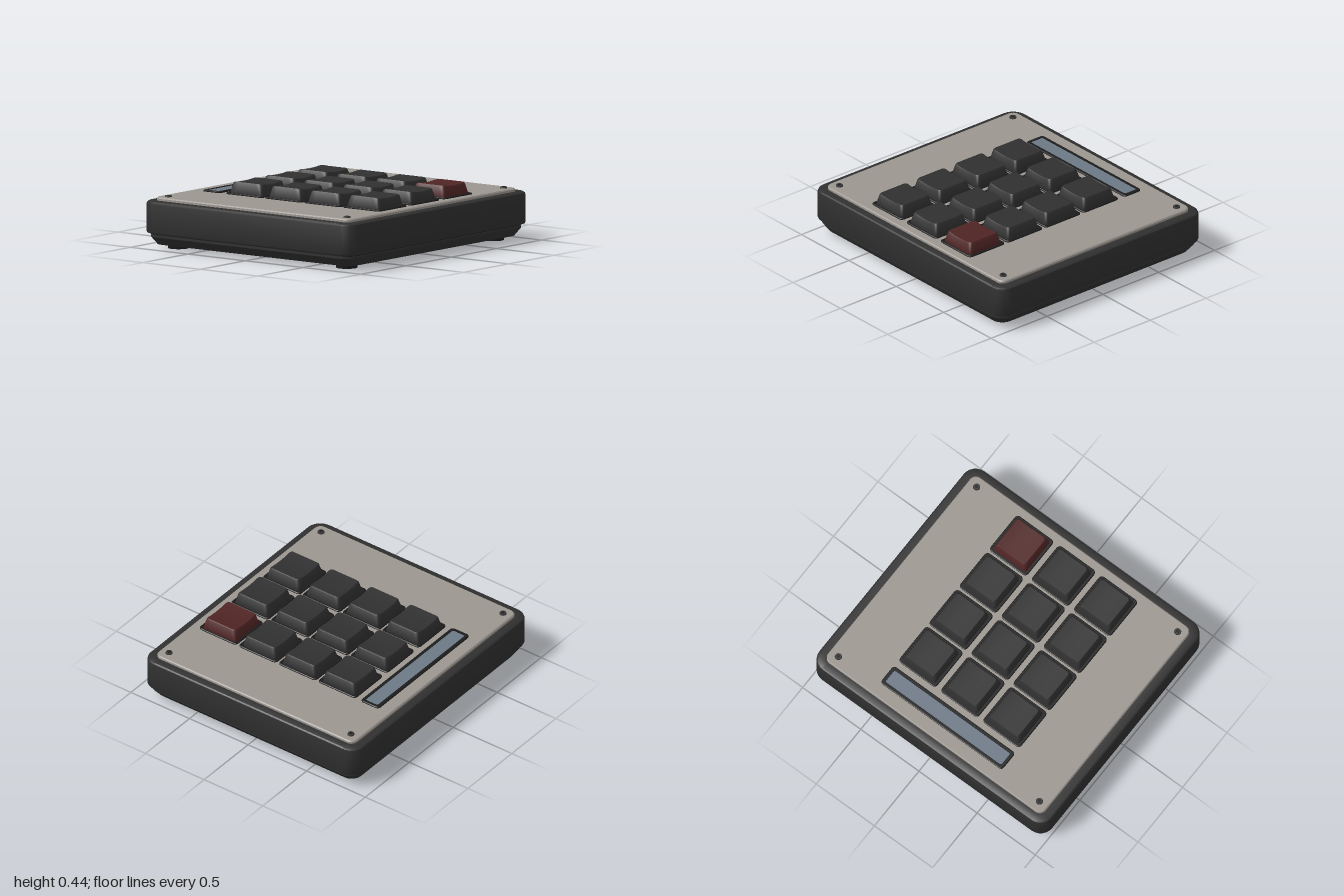
import * as THREE from 'three';
import { toCreasedNormals } from 'three/addons/utils/BufferGeometryUtils.js';

const mat = (name, color) => new THREE.MeshStandardMaterial({ name, color });

// Points around a rounded rectangle, with its straight sides subdivided
function outline(hw, hd, r, steps) {
  const pts = [], corners = [[1, 1], [-1, 1], [-1, -1], [1, -1]];
  const arc = 6;
  corners.forEach(([sx, sz], k) => {
    for (let i = 0; i <= arc; i++) {
      const a = (k + i / arc) * Math.PI / 2;
      pts.push([sx * (hw - r) + r * Math.cos(a), sz * (hd - r) + r * Math.sin(a)]);
    }
    const [x0, z0] = pts[pts.length - 1];
    const a = (k + 1) * Math.PI / 2, [nx, nz] = corners[(k + 1) % 4];
    const x1 = nx * (hw - r) + r * Math.cos(a), z1 = nz * (hd - r) + r * Math.sin(a);
    for (let i = 1; i < steps; i++) {
      const t = i / steps;
      pts.push([x0 + (x1 - x0) * t, z0 + (z1 - z0) * t]);
    }
  });
  return pts;
}

// Closed solid through rounded rectangles [halfWidth, halfDepth, radius, y];
// shape optionally moves each vertex's height
function loft(sections, { steps = 1, shape = null, crease = 0.6 } = {}) {
  const pos = [], index = [];
  const add = (x, y, z) => pos.push(x, shape ? shape(x, y, z) : y, z);
  let n = 0;
  for (const [hw, hd, r, y] of sections) {
    const pts = outline(hw, hd, r, steps);
    n = pts.length;
    pts.forEach(([x, z]) => add(x, y, z));
  }
  const last = sections.length - 1, bottom = n * (last + 1), top = bottom + 1;
  add(0, sections[0][3], 0);
  add(0, sections[last][3], 0);
  for (let j = 0; j < n; j++) {
    const k = (j + 1) % n;
    for (let i = 0; i < last; i++) {
      const a = i * n + j, b = i * n + k, c = b + n, d = a + n;
      index.push(a, d, c, a, c, b);
    }
    index.push(bottom, j, k, top, last * n + k, last * n + j);
  }
  const g = new THREE.BufferGeometry();
  g.setAttribute('position', new THREE.Float32BufferAttribute(pos, 3));
  g.setIndex(index);
  return toCreasedNormals(g, crease);
}

// Raised rim around a shallow recess
const tray = (hw, hd, r, rim) => loft([
  [hw, hd, r, 0.35],
  [hw, hd, r, 0.36],
  [hw - 0.005, hd - 0.005, r - 0.005, 0.364],
  [hw - rim, hd - rim, r * 0.5, 0.364],
  [hw - rim, hd - rim, r * 0.5, 0.358],
]);

export function createModel() {
  const root = new THREE.Group();
  root.name = 'keypad';
  const shell = mat('charcoal shell', 0x303030);
  const dark = mat('black trim', 0x1c1c1c);
  const metal = mat('warm grey plate', 0x9c9690);
  const keyGrey = mat('dark grey key', 0x303030);
  const keyRed = mat('dark red key', 0x502424);
  const glass = mat('blue grey display', 0x6c7986);
  const steel = mat('screw steel', 0x383838);

  const part = (name, geometry, material, x = 0, y = 0, z = 0, parent = root) => {
    const m = new THREE.Mesh(geometry, material);
    m.name = name;
    m.position.set(x, y, z);
    parent.add(m);
    return m;
  };

  // Case: tapered base, recessed seam and upper shell
  part('lowerCase', loft([
    [0.925, 0.845, 0.07, 0.028],
    [0.935, 0.855, 0.08, 0.03],
    [0.98, 0.89, 0.1, 0.085],
    [0.98, 0.89, 0.1, 0.1],
  ]), shell);
  part('seam', loft([
    [0.972, 0.882, 0.09, 0.095],
    [0.972, 0.882, 0.09, 0.12],
  ]), dark);
  part('upperCase', loft([
    [0.985, 0.895, 0.09, 0.108],
    [0.996, 0.906, 0.1, 0.112],
    [1, 0.91, 0.1, 0.122],
    [1, 0.91, 0.1, 0.312],
    [0.997, 0.907, 0.1, 0.323],
    [0.988, 0.898, 0.095, 0.33],
    [0.945, 0.858, 0.06, 0.332],
  ]), shell);

  // Face plate
  part('facePlate', loft([
    [0.935, 0.847, 0.05, 0.325],
    [0.935, 0.847, 0.05, 0.346],
    [0.928, 0.84, 0.045, 0.354],
  ]), metal);

  // Display
  part('displayBezel', tray(0.523, 0.077, 0.025, 0.025), dark, 0, 0, -0.676);
  part('displayGlass', new THREE.BoxGeometry(0.995, 0.006, 0.106), glass, 0, 0.358, -0.676);

  // Keys: wells and caps with cylindrical dished tops
  const wellGeo = tray(0.161, 0.161, 0.028, 0.014);
  const capSections = [
    [0.14, 0.14, 0.02, 0.357],
    [0.14, 0.14, 0.02, 0.368],
    [0.125, 0.125, 0.022, 0.432],
    [0.119, 0.119, 0.02, 0.44],
  ];
  for (const s of [0.8, 0.6, 0.4, 0.2]) capSections.push([0.119 * s, 0.119 * s, 0.02 * s, 0.44]);
  const dish = (x, y) => (y > 0.42 ? y - 0.01 * Math.max(0, 1 - (x / 0.12) ** 2) : y);
  const capGeo = loft(capSections, { steps: 8, shape: dish });
  for (let row = 0; row < 4; row++) {
    for (let col = 0; col < 3; col++) {
      const key = new THREE.Group();
      key.name = `key${row * 3 + col + 1}`;
      key.position.set((col - 1) * 0.361, 0, -0.394 + row * 0.339);
      part('keyWell', wellGeo, dark, 0, 0, 0, key);
      part('keyCap', capGeo, row === 3 && col === 2 ? keyRed : keyGrey, 0, 0, 0, key);
      root.add(key);
    }
  }

  // Corner screws with hex sockets, and round feet
  const headGeo = toCreasedNormals(new THREE.CylinderGeometry(0.022, 0.028, 0.02, 24), 0.6);
  const socketGeo = new THREE.CylinderGeometry(0.013, 0.013, 0.002, 6);
  const footGeo = toCreasedNormals(new THREE.CylinderGeometry(0.077, 0.072, 0.032, 32), 0.6);
  for (const sx of [-1, 1]) {
    for (const sz of [-1, 1]) {
      const z = sz * 0.776;
      part('screwHead', headGeo, steel, sx * 0.864, 0.354, z);
      part('screwSocket', socketGeo, dark, sx * 0.864, 0.364, z);
      part('foot', footGeo, dark, sx * 0.81, 0.016, sz * 0.73);
    }
  }
  return root;
}
